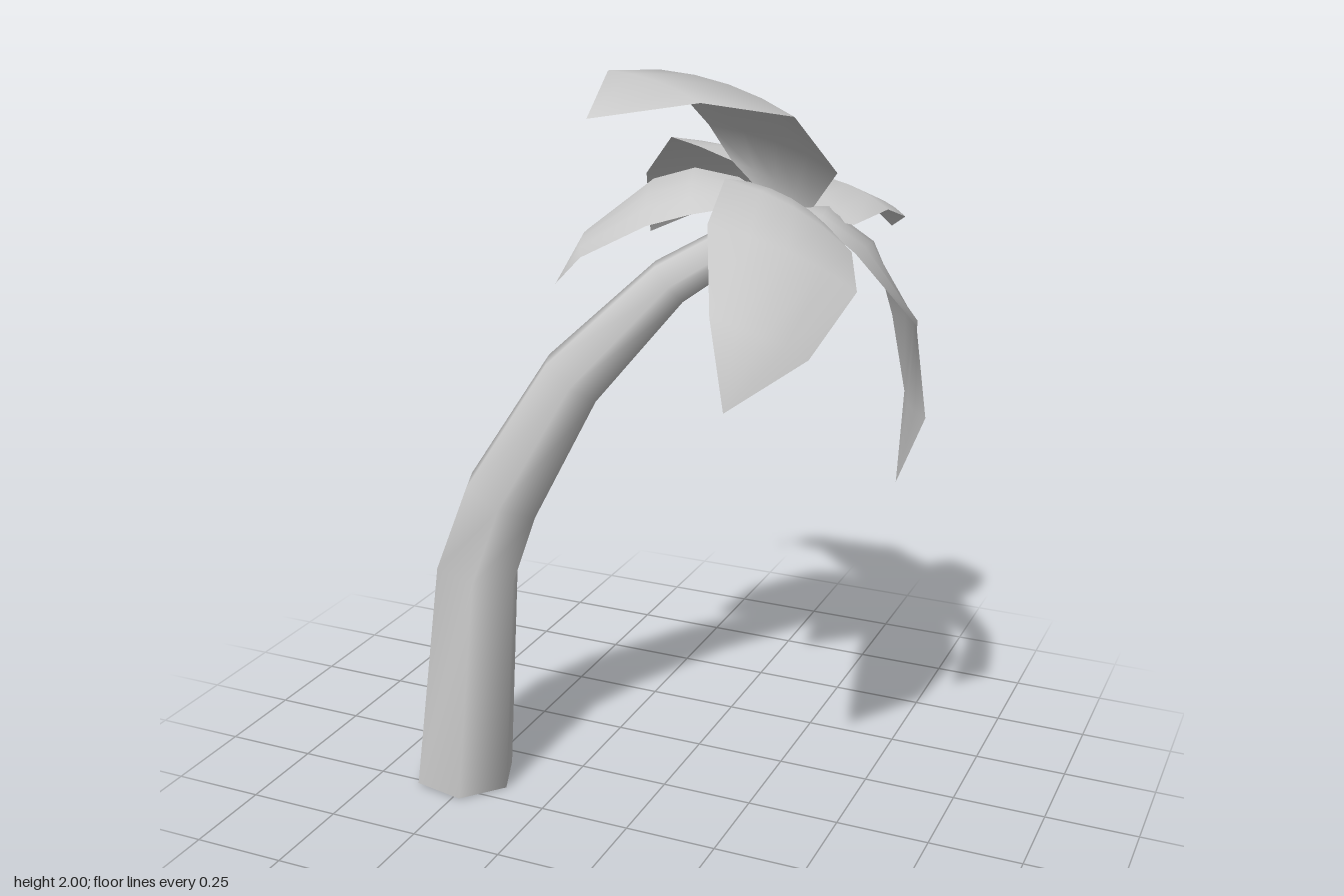
import * as THREE from 'three';
import { mergeVertices } from 'three/addons/utils/BufferGeometryUtils.js';

const V = (p) => new THREE.Vector3(...p);
const material = new THREE.MeshStandardMaterial({ color: 0xcccccc, side: THREE.DoubleSide });

// Smooth surface through rows of points of equal length
function gridGeometry(rows) {
  const cols = rows[0].length, index = [];
  for (let i = 0; i < rows.length - 1; i++) {
    for (let j = 0; j < cols - 1; j++) {
      const a = i * cols + j, b = a + cols;
      index.push(a, b, a + 1, a + 1, b, b + 1);
    }
  }
  const geometry = new THREE.BufferGeometry().setFromPoints(rows.flat());
  geometry.setIndex(index);
  const merged = mergeVertices(geometry, 1e-5);
  merged.computeVertexNormals();
  return merged;
}

// Leaf blade spanned between two edges, arched slightly upward across its width
function leaf(name, base, tip, edgeA, edgeB, camber = 0.07) {
  const A = [base, ...edgeA, tip].map(V), B = [base, ...edgeB, tip].map(V);
  const rows = A.map((a, i) => {
    const b = B[i];
    const side = b.clone().sub(a);
    const k = Math.max(i - 1, 0), n = Math.min(i + 1, A.length - 1);
    const along = A[n].clone().add(B[n]).sub(A[k]).sub(B[k]);
    const up = side.clone().cross(along).normalize();
    if (up.y < 0) up.negate();
    return [0, 0.25, 0.5, 0.75, 1].map((t) =>
      a.clone().lerp(b, t).addScaledVector(up, camber * side.length() * 4 * t * (1 - t)));
  });
  const mesh = new THREE.Mesh(gridGeometry(rows), material);
  mesh.name = name;
  return mesh;
}

// Tapered six-sided trunk that bends sideways
function trunk() {
  const path = [
    [-0.53, 0.005, 0.17, 0.14], [-0.485, 0.62, 0.14, 0.118], [-0.415, 0.83, 0.115, 0.113],
    [-0.235, 1.16, 0.055, 0.092], [0, 1.42, -0.03, 0.066], [0.275, 1.6, -0.125, 0.045],
  ];
  const centres = path.map(V), ref = new THREE.Vector3(0.37, 0, 0.93).normalize();
  const rings = path.map((p, i) => {
    const dir = (k) => centres[k + 1].clone().sub(centres[k]).normalize();
    const t = i === 0 ? new THREE.Vector3(0.04, 1, 0).normalize()
      : dir(i - 1).add(dir(Math.min(i, path.length - 2))).normalize();
    const u = ref.clone().addScaledVector(t, -ref.dot(t)).normalize();
    const w = t.clone().cross(u);
    return Array.from({ length: 7 }, (_, j) => {
      const a = (j % 6) * Math.PI / 3;
      return centres[i].clone().addScaledVector(u, p[3] * Math.cos(a)).addScaledVector(w, -p[3] * Math.sin(a));
    });
  });
  const group = new THREE.Group();
  group.name = 'trunk';
  const bark = new THREE.Mesh(gridGeometry(rings), material);
  bark.name = 'bark';
  group.add(bark);
  // Flat caps at both ends
  [[rings[0].slice().reverse(), centres[0], 'trunkBottom'], [rings[5], centres[5], 'trunkTop']]
    .forEach(([ring, centre, name]) => {
      const cap = new THREE.Mesh(gridGeometry([ring.map(() => centre.clone()), ring]), material);
      cap.name = name;
      group.add(cap);
    });
  return group;
}

export function createModel() {
  const model = new THREE.Group();
  model.name = 'palmTree';
  model.add(trunk());

  model.add(
    leaf('frontRaisedLeaf', [0.25, 1.61, -0.12], [0.09, 1.93, 0.615],
      [[0.13, 1.72, -0.12], [0.08, 1.81, -0.09], [0.045, 1.97, 0.13], [0.035, 2.0, 0.39]],
      [[0.36, 1.63, -0.08], [0.455, 1.74, 0.03], [0.42, 1.9, 0.24], [0.29, 1.955, 0.47]], 0.05),
    leaf('backRightLeaf', [0.26, 1.62, -0.13], [-0.295, 1.41, -0.575],
      [[0.13, 1.72, -0.12], [0.02, 1.74, -0.17], [-0.12, 1.73, -0.32], [-0.255, 1.6, -0.46]],
      [[0.28, 1.61, -0.25], [0.25, 1.64, -0.42], [0.115, 1.6, -0.55], [-0.1, 1.5, -0.62]]),
    leaf('backLeaf', [0.28, 1.61, -0.125], [0.415, 1.49, -0.57],
      [[0.26, 1.63, -0.17], [0.225, 1.65, -0.27], [0.235, 1.65, -0.38], [0.33, 1.58, -0.53]],
      [[0.34, 1.6, -0.11], [0.43, 1.57, -0.19], [0.48, 1.59, -0.31], [0.48, 1.54, -0.47]]),
    leaf('leftDroopingLeaf', [0.28, 1.62, -0.13], [0.58, 0.93, -0.14],
      [[0.36, 1.61, -0.2], [0.44, 1.5, -0.32], [0.485, 1.3, -0.37], [0.545, 1.12, -0.305]],
      [[0.38, 1.6, -0.06], [0.49, 1.54, -0.02], [0.64, 1.37, -0.05], [0.665, 1.13, -0.08]]),
    leaf('frontLeftLeaf', [0.27, 1.62, -0.12], [0.375, 1.29, 0.535],
      [[0.21, 1.69, -0.03], [0.2, 1.72, 0.1], [0.25, 1.66, 0.33], [0.32, 1.49, 0.485]],
      [[0.4, 1.59, -0.07], [0.49, 1.55, 0.01], [0.56, 1.5, 0.18], [0.52, 1.39, 0.39]]),
    leaf('rightLeaf', [0.26, 1.62, -0.12], [-0.27, 1.41, 0.07],
      [[0.13, 1.67, -0.17], [0, 1.68, -0.195], [-0.1, 1.65, -0.16], [-0.235, 1.53, -0.055]],
      [[0.19, 1.63, -0.01], [0.1, 1.62, 0.08], [0, 1.59, 0.11], [-0.17, 1.5, 0.13]]),
  );
  return model;
}
